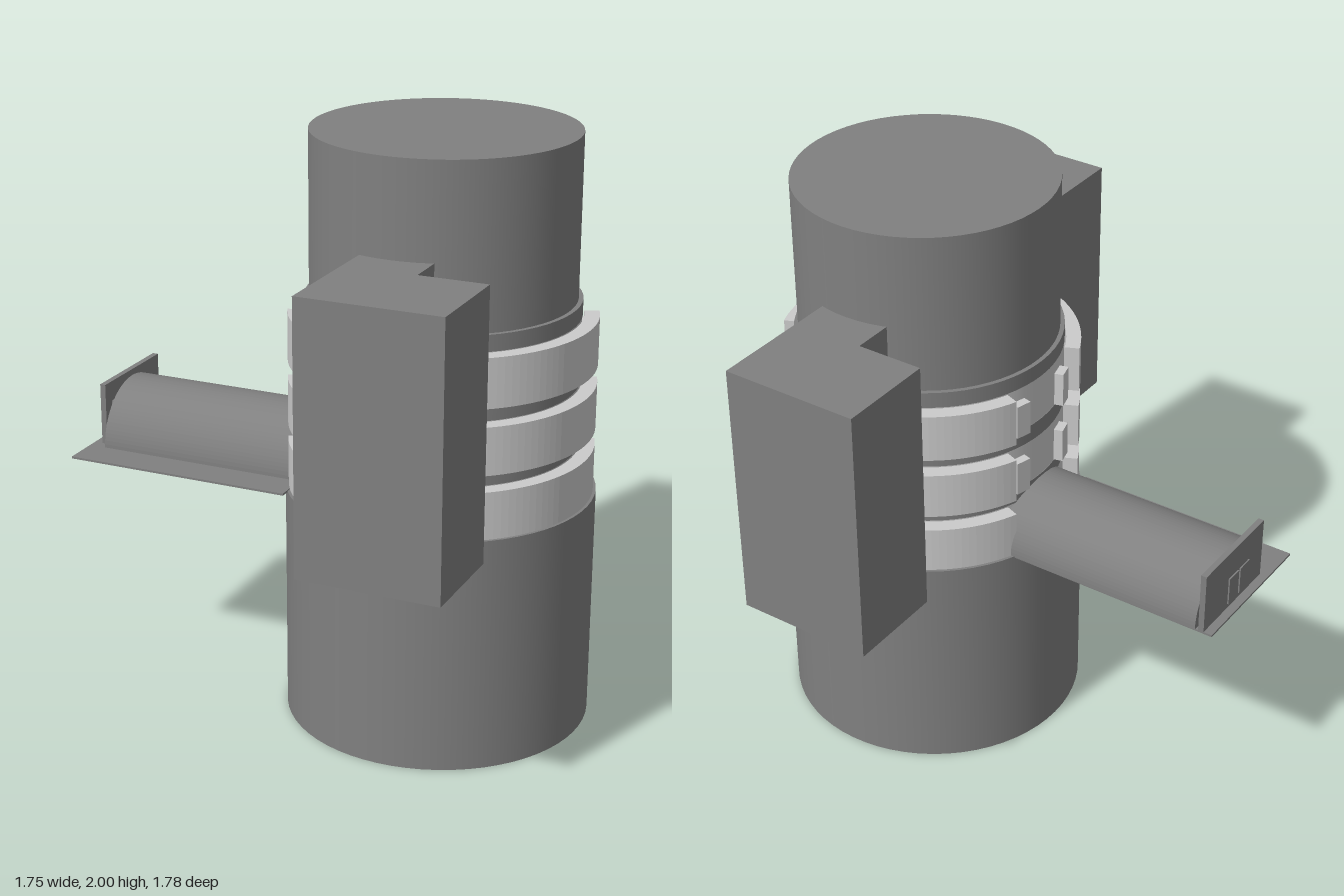
import * as THREE from 'three';

const dark = new THREE.MeshStandardMaterial({ color: 0x808080 });
const light = new THREE.MeshStandardMaterial({ color: 0xcccccc });
const red = new THREE.MeshStandardMaterial({ color: 0xaa1111 });
const AXIS = 0.355; // x of the tower's axis
const rad = THREE.MathUtils.degToRad;

export function createModel() {
  const model = new THREE.Group();

  function add(name, geometry, material, x = 0, y = 0, z = 0) {
    const mesh = new THREE.Mesh(geometry, material);
    mesh.name = name;
    mesh.position.set(x, y, z);
    model.add(mesh);
    return mesh;
  }

  // Upright cylinder on the tower's axis
  function drum(name, r, y0, y1, material) {
    return add(name, new THREE.CylinderGeometry(r, r, y1 - y0, 64), material, AXIS, (y0 + y1) / 2, 0);
  }

  // Box given by its limits
  function block(name, material, x0, x1, y0, y1, z0, z1) {
    return add(name, new THREE.BoxGeometry(x1 - x0, y1 - y0, z1 - z0), material,
      (x0 + x1) / 2, (y0 + y1) / 2, (z0 + z1) / 2);
  }

  // Curved panel, angles in degrees from +x towards +z
  function panel(name, material, r0, r1, a0, a1, y0, y1) {
    const shape = new THREE.Shape();
    shape.absarc(0, 0, r1, rad(a0), rad(a1), false);
    shape.absarc(0, 0, r0, rad(a1), rad(a0), true);
    const g = new THREE.ExtrudeGeometry(shape, { depth: y1 - y0, bevelEnabled: false, curveSegments: 8 });
    g.rotateX(Math.PI / 2);
    return add(name, g, material, AXIS, y1, 0);
  }

  // L-shaped tower block: outline in x and z, extruded upwards
  function lBlock(name, points) {
    const shape = new THREE.Shape(points.map(([x, z]) => new THREE.Vector2(x, z)));
    const g = new THREE.ExtrudeGeometry(shape, { depth: 0.89, bevelEnabled: false });
    g.rotateX(Math.PI / 2);
    return add(name, g, dark, 0, 1.68, 0);
  }

  // Tower
  drum('base', 0.515, 0, 0.8, dark);
  drum('upperTower', 0.435, 1.4, 2, dark);

  // Three tiers of panels and windows, each with a dark band above
  const tiers = [[0.8, 0.96, 1.015], [1.015, 1.175, 1.235], [1.235, 1.4, 1.455]];
  const panels = [[-23, 20], [20, 66], [110, 156], [201, 246], [246, 254]];
  for (const [y0, y1, y2] of tiers) {
    drum('tierCore', 0.448, y0, y1, light);
    drum('tierBand', 0.45, y1, y2, dark);
    for (const [a0, a1] of panels) panel('tierPanel', light, 0.455, 0.505, a0, a1, y0, y1);
    for (const a of [-30, -60, -73, 165, 195]) {
      const w = add('window', new THREE.BoxGeometry(0.04, 0.12, 0.055), light,
        AXIS + 0.458 * Math.cos(rad(a)), y0 + 0.06, 0.458 * Math.sin(rad(a)));
      w.rotation.y = -rad(a);
    }
    for (const a of [-5, 28]) panel('redLight', red, 0.446, 0.48, a, a + 12, y0 - 0.002, y0 + 0.02);
  }

  // Side blocks, front and back
  lBlock('frontBlock', [[0.245, 0.4], [0.49, 0.4], [0.49, 0.545], [0.72, 0.545], [0.72, 0.89], [0.245, 0.89]]);
  lBlock('backBlock', [[-0.015, -0.89], [0.46, -0.89], [0.46, -0.4], [0.215, -0.4], [0.215, -0.55], [-0.015, -0.55]]);

  // Half-round tunnel running out to the right
  const arch = new THREE.Shape();
  arch.absarc(0, 0, 0.203, 0, Math.PI, false);
  arch.closePath();
  const tunnel = new THREE.ExtrudeGeometry(arch, { depth: 0.75, bevelEnabled: false, curveSegments: 24 });
  tunnel.rotateY(Math.PI / 2);
  add('tunnel', tunnel, dark, -0.815, 0.802, 0);

  // Thin floor laid in tiles
  const xs = [-0.875, -0.765, -0.545, -0.43, -0.205, -0.07];
  const zs = [-0.2, -0.03, 0.15, 0.325];
  for (let i = 0; i < 5; i++) {
    for (let j = 0; j < 3; j++) block('floorTile', dark, xs[i], xs[i + 1], 0.796, 0.803, zs[j], zs[j + 1]);
  }

  // End wall with a small double door
  block('endWall', dark, -0.845, -0.825, 0.8, 1.02, -0.2, 0.17);
  block('wallLink', dark, -0.83, -0.81, 0.8, 0.95, -0.13, 0.13);
  for (const z of [-0.05, 0.02]) block('door', dark, -0.85, -0.84, 0.82, 0.92, z, z + 0.06);

  return model;
}
